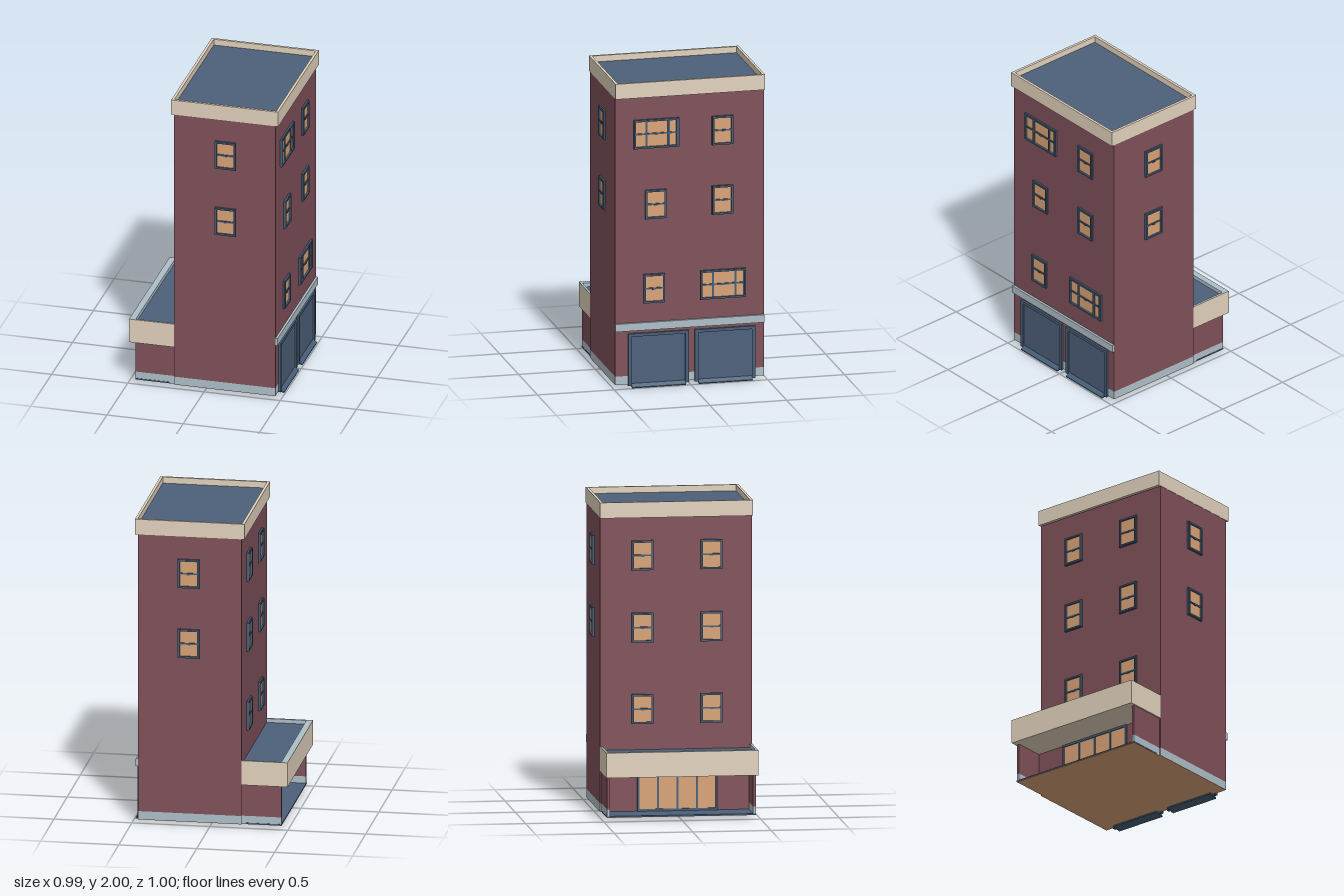
import * as THREE from 'three';

const mat = (name, hex) => {
  const m = new THREE.MeshStandardMaterial({ color: hex });
  m.name = name;
  return m;
};

export function createModel() {
  const brick = mat('brick', 0x80505a);
  const stone = mat('tan stone', 0xe2d2bd);
  const trim = mat('grey trim', 0xaebfc8);
  const slate = mat('slate blue', 0x4d607a);
  const frame = mat('frame blue', 0x465f78);
  const glass = mat('warm tan', 0xd9a377);

  const model = new THREE.Group();
  model.name = 'building';

  // Box given by its limits on each axis
  const box = (parent, name, material, x0, x1, y0, y1, z0, z1) => {
    const mesh = new THREE.Mesh(new THREE.BoxGeometry(x1 - x0, y1 - y0, z1 - z0), material);
    mesh.position.set((x0 + x1) / 2, (y0 + y1) / 2, (z0 + z1) / 2);
    mesh.name = name;
    parent.add(mesh);
    return mesh;
  };

  // Rectangular ring in the XY plane, centred, extruded towards +z
  const ring = (parent, name, material, w, h, t, depth) => {
    const rect = (s, a, b) => s.moveTo(-a, -b).lineTo(a, -b).lineTo(a, b).lineTo(-a, b).closePath();
    const shape = rect(new THREE.Shape(), w / 2, h / 2);
    shape.holes.push(rect(new THREE.Path(), w / 2 - t, h / 2 - t));
    const mesh = new THREE.Mesh(new THREE.ExtrudeGeometry(shape, { depth, bevelEnabled: false }), material);
    mesh.name = name;
    parent.add(mesh);
    return mesh;
  };

  // Tower: underside, base course, walls, roof and parapet
  const Z = 0.485, X = 0.463, P = 0.475;
  box(model, 'towerUnderside', glass, -0.2, X, 0.02, 0.023, -Z, Z);
  box(model, 'baseCourse', trim, -0.2, X, 0.023, 0.075, -Z, Z);
  box(model, 'towerWalls', brick, -0.2, X, 0.075, 1.9, -Z, Z);
  box(model, 'towerRoof', slate, -0.202, 0.466, 1.9, 1.96, -0.47, 0.47);
  for (const s of [-1, 1]) {
    const [a, b] = s > 0 ? [0.47, 0.487] : [-0.487, -0.47];
    box(model, 'parapetEnd', stone, -0.22, 0.483, 1.9, 2, a, b);
  }
  box(model, 'parapetLeft', stone, 0.466, 0.483, 1.9, 2, -0.47, 0.47);
  box(model, 'parapetRight', stone, -0.22, -0.202, 1.9, 2, -0.47, 0.47);
  box(model, 'stringCourse', trim, X, 0.478, 0.372, 0.422, -Z, Z);

  // Porch: floor, end walls and canopy with a raised rim
  const porch = new THREE.Group();
  porch.name = 'porch';
  model.add(porch);
  box(porch, 'porchUnderside', glass, -0.455, -0.2, 0.02, 0.023, -P, P);
  box(porch, 'porchFloor', slate, -0.457, -0.23, 0.022, 0.03, -P - 0.002, P + 0.002);
  box(porch, 'innerWall', brick, -0.255, -0.2, 0.023, 0.28, -0.46, 0.46);
  for (const s of [-1, 1]) {
    const [a, b] = s > 0 ? [0.457, P] : [-P, -0.457];
    box(porch, 'endWallBase', trim, -0.455, -0.2, 0.023, 0.075, a, b);
    box(porch, 'endWall', brick, -0.455, -0.2, 0.075, 0.28, a, b);
    // material order: +x, -x, +y, -y, +z, -z
    const sides = s > 0 ? [stone, stone, trim, stone, stone, trim] : [stone, stone, trim, stone, trim, stone];
    const [c, d] = s > 0 ? [0.47, Z] : [-Z, -0.47];
    box(porch, 'canopyEnd', sides, -0.496, -0.2, 0.28, 0.44, c, d);
  }
  box(porch, 'canopyFascia', [trim, stone, trim, stone, stone, stone], -0.496, -0.455, 0.28, 0.44, -0.47, 0.47);
  box(porch, 'canopyRoof', [slate, slate, slate, stone, slate, slate], -0.455, -0.2, 0.28, 0.415, -0.47, 0.47);

  // Shop front inside the porch
  box(porch, 'shopGlass', glass, -0.26, -0.25, 0.04, 0.27, -0.25, 0.25);
  for (const y of [0.03, 0.266]) box(porch, 'shopRail', frame, -0.266, -0.25, y, y + 0.014, -0.256, 0.256);
  for (let i = 0; i <= 4; i++) {
    const z = -0.25 + i * 0.125;
    box(porch, 'shopMullion', frame, -0.265, -0.25, 0.03, 0.28, z - 0.006, z + 0.006);
  }

  // Window in the XY plane facing +z; bars are fractions of its width
  const makeWindow = (w, h, bars) => {
    const g = new THREE.Group();
    g.name = 'window';
    box(g, 'pane', glass, -w / 2 + 0.005, w / 2 - 0.005, -h / 2 + 0.005, h / 2 - 0.005, 0, 0.004);
    ring(g, 'outerFrame', frame, w, h, 0.01, 0.011);
    ring(g, 'innerFrame', frame, w - 0.006, h - 0.006, 0.01, 0.016);
    box(g, 'meetingRail', frame, -w / 2 + 0.01, w / 2 - 0.01, -0.005, 0.005, 0, 0.01);
    box(g, 'latch', frame, -0.011, 0.011, -0.008, 0, 0, 0.012);
    for (const f of bars) {
      const x = (f - 0.5) * w;
      box(g, 'bar', frame, x - 0.006, x + 0.006, -h / 2 + 0.01, h / 2 - 0.01, 0, 0.011);
    }
    return g;
  };
  const place = (x, y, z, turn, w = 0.138, bars = []) => {
    const g = makeWindow(w, 0.19, bars);
    g.position.set(x, y, z);
    g.rotation.y = turn;
    model.add(g);
  };

  // Front and back windows
  for (const y of [1.196, 1.657]) {
    place(0.138, y, Z, 0);
    place(0.138, y, -Z, Math.PI);
  }
  // Windows above the porch
  for (const y of [0.675, 1.196, 1.657])
    for (const z of [-0.215, 0.225]) place(-0.2, y, z, -Math.PI / 2);
  // Windows above the garage, two of them wide
  const wide = [0.28, 0.77, 0.955];
  place(X, 1.657, 0.218, Math.PI / 2, 0.297, wide);
  place(X, 1.65, -0.213, Math.PI / 2);
  place(X, 1.193, 0.222, Math.PI / 2);
  place(X, 1.193, -0.213, Math.PI / 2);
  place(X, 0.641, 0.232, Math.PI / 2);
  place(X, 0.641, -0.216, Math.PI / 2, 0.3, wide);

  // Garage doors with a surround and a sloping sill
  for (const zc of [0.206, -0.229]) {
    const door = new THREE.Group();
    door.name = 'garageDoor';
    door.position.z = zc;
    model.add(door);
    box(door, 'doorPanel', slate, 0.46, 0.467, 0.024, 0.35, -0.185, 0.185);
    for (const s of [-1, 1]) {
      const z = s * 0.186;
      box(door, 'jamb', frame, 0.457, 0.477, 0.012, 0.353, z - 0.011, z + 0.011);
    }
    box(door, 'lintel', frame, 0.457, 0.477, 0.333, 0.353, -0.175, 0.175);
    const wedge = new THREE.Shape();
    wedge.moveTo(0.433, 0.012).lineTo(0.493, 0).lineTo(0.493, 0.006).lineTo(0.467, 0.025).lineTo(0.433, 0.025);
    const sill = new THREE.Mesh(new THREE.ExtrudeGeometry(wedge, { depth: 0.35, bevelEnabled: false }), frame);
    sill.position.z = -0.175;
    sill.name = 'ramp';
    door.add(sill);
  }
  return model;
}
